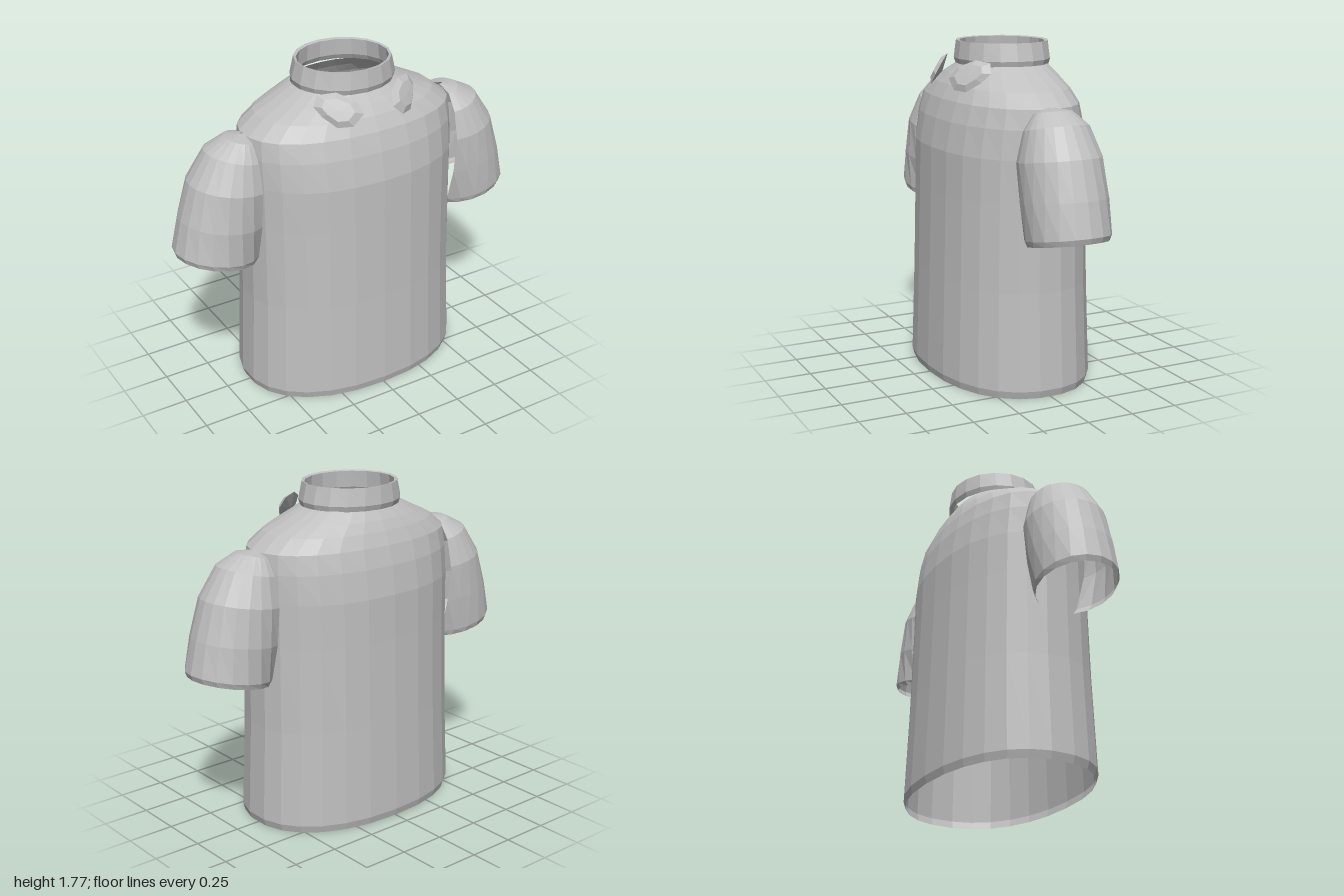
import * as THREE from 'three';

const cloth = new THREE.MeshStandardMaterial({ color: 0xc0c0c0, flatShading: true, side: THREE.DoubleSide });
cloth.name = 'grey cloth';

// Skin a list of equally long point rings
function loft(rings, name) {
  const n = rings[0].length, index = [];
  for (let r = 0; r < rings.length - 1; r++) {
    for (let i = 0; i < n - 1; i++) {
      const a = r * n + i, b = a + n;
      index.push(a, a + 1, b, a + 1, b + 1, b);
    }
  }
  const geometry = new THREE.BufferGeometry();
  geometry.setAttribute('position', new THREE.Float32BufferAttribute(rings.flat(2), 3));
  geometry.setIndex(index);
  geometry.computeVertexNormals();
  const mesh = new THREE.Mesh(geometry, cloth);
  mesh.name = name;
  return mesh;
}

// Closed superellipse ring, counted so that lofting upwards faces outwards
function ring(y, hx, hz, zc, segments, power = 2) {
  const points = [];
  const bend = (v) => Math.sign(v) * Math.pow(Math.abs(v), 2 / power);
  for (let i = 0; i <= segments; i++) {
    const a = (i / segments) * Math.PI * 2;
    points.push([hx * bend(Math.sin(a)), y, zc + hz * bend(Math.cos(a))]);
  }
  return points;
}

// Short sleeve: C-shaped sections, open towards the body
function sleeve(side, name) {
  // outer x, outer y, inner y, half depth, sweep in degrees
  const levels = [
    [0.99, 0.89, 0.81, 0.20, 150],
    [1.0, 0.92, 0.84, 0.21, 145],
    [0.96, 1.09, 1.03, 0.215, 128],
    [0.90, 1.28, 1.23, 0.21, 115],
    [0.80, 1.43, 1.38, 0.165, 110],
    [0.69, 1.485, 1.465, 0.10, 105],
    [0.61, 1.49, 1.49, 0.01, 100],
  ];
  const inner = 0.59, n = 14;
  const rings = levels.map(([outer, yo, yi, hz, degrees]) => {
    const max = THREE.MathUtils.degToRad(degrees);
    const r = (outer - inner) / (1 - Math.cos(max));
    const points = [];
    for (let i = 0; i <= n; i++) {
      const a = max * (1 - (2 * i) / n);
      const x = outer - r * (1 - Math.cos(a));
      const y = yi + (yo - yi) * (x - inner) / (outer - inner);
      points.push([side * x, y, side * hz * Math.sin(a)]);
    }
    return points;
  });
  return loft(rings, name);
}

// Thin lens-shaped collar tab lying on the chest
function tab(side, name) {
  const outline = [[0.295, 1.63], [0.265, 1.68], [0.18, 1.69], [0.10, 1.65],
    [0.085, 1.595], [0.145, 1.54], [0.215, 1.535], [0.27, 1.585]];
  const normal = new THREE.Vector3(0.55, 0.6, 1).normalize();
  const place = (x, y, lift) => [
    side * (x + normal.x * lift), y + normal.y * lift,
    0.25 + 0.55 * (0.195 - x) - 0.6 * (y - 1.61) + normal.z * lift];
  const closed = [...outline, outline[0]];
  const scaled = (s, lift) => closed.map(([x, y]) =>
    place(0.195 + (x - 0.195) * s, 1.61 + (y - 1.61) * s, lift));
  const rings = [scaled(0, -0.02), scaled(1, 0), scaled(0.65, 0.02), scaled(0, 0.022)];
  if (side > 0) rings.forEach((r) => r.reverse());
  return loft(rings, name);
}

export function createModel() {
  const shirt = new THREE.Group();
  shirt.name = 'shirt';

  // Torso: height, half width, half depth, depth centre
  const torso = [
    [0, 0.615, 0.41, 0], [0.04, 0.627, 0.42, 0], [0.55, 0.605, 0.403, 0],
    [1.0, 0.60, 0.39, 0], [1.23, 0.60, 0.385, 0], [1.38, 0.60, 0.36, -0.003],
    [1.48, 0.59, 0.33, -0.006], [1.55, 0.50, 0.295, -0.012],
    [1.60, 0.39, 0.26, -0.02], [1.655, 0.275, 0.21, -0.03],
  ].map(([y, hx, hz, zc]) => ring(y, hx, hz, zc, 26, 2.25));
  shirt.add(loft(torso, 'torso'));

  // Standing neckband with a folded inner face
  const band = [
    [1.68, 0.255, 0.225], [1.652, 0.27, 0.24], [1.68, 0.278, 0.25],
    [1.772, 0.255, 0.24], [1.768, 0.243, 0.22], [1.68, 0.255, 0.225],
  ].map(([y, hx, hz]) => ring(y, hx, hz, -0.025, 18));
  shirt.add(loft(band, 'neckband'));

  for (const [side, word] of [[1, 'left'], [-1, 'right']]) {
    shirt.add(sleeve(side, word + 'Sleeve'), tab(side, word + 'CollarTab'));
  }
  return shirt;
}
